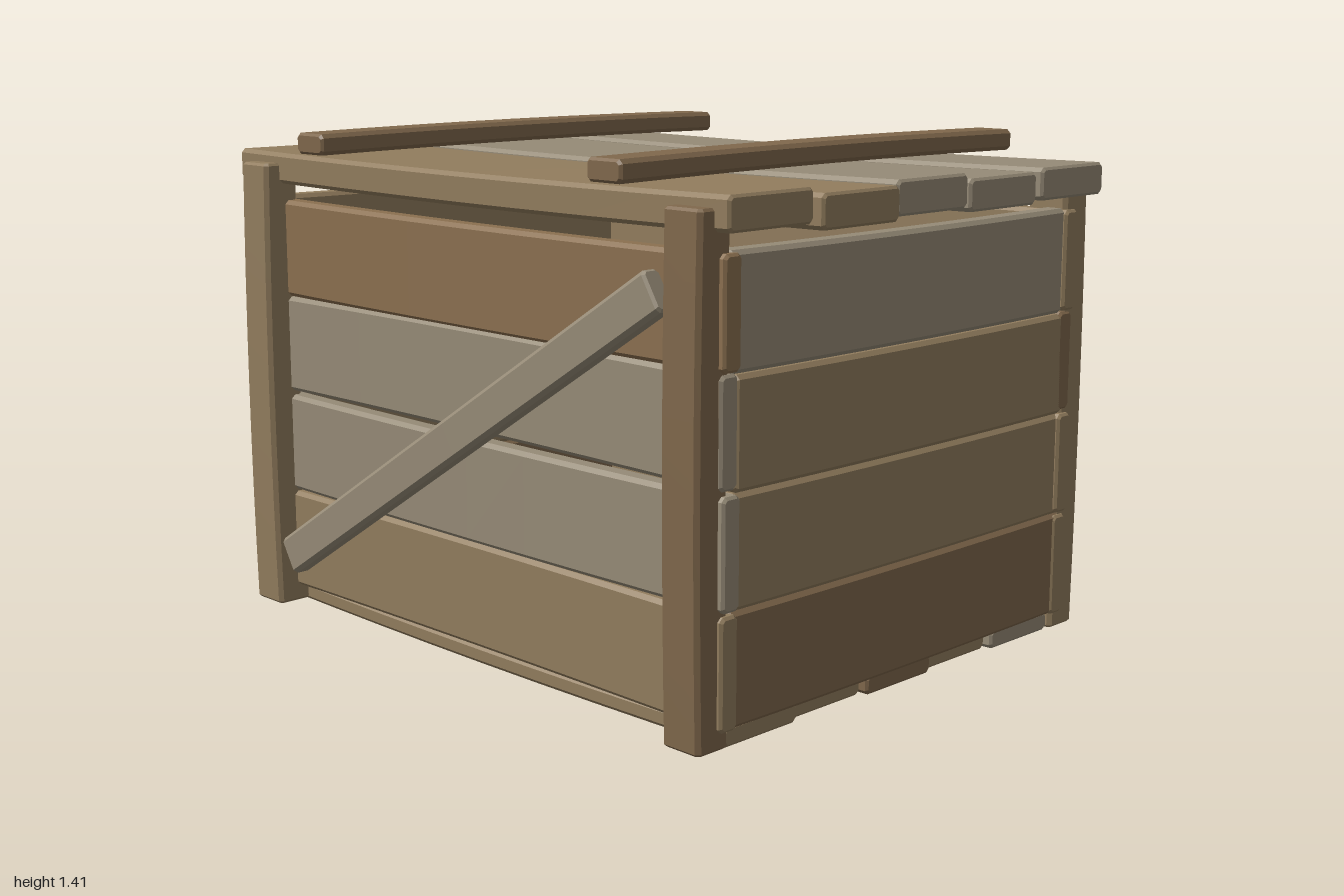
import * as THREE from 'three';
import { toCreasedNormals } from 'three/addons/utils/BufferGeometryUtils.js';

const WOOD = {};
for (const [name, color] of Object.entries({ tan: 0x927d5e, warm: 0x8b7050, brown: 0x80684c, grey: 0x968b77 })) {
  WOOD[name] = new THREE.MeshStandardMaterial({ color });
}

// Chamfered board along z, centred on the origin
function boardGeometry(w, h, length) {
  const c = 0.007, x = w / 2 - c, y = h / 2 - c;
  const shape = new THREE.Shape([
    [-x + c, -y], [x - c, -y], [x, -y + c], [x, y - c],
    [x - c, y], [-x + c, y], [-x, y - c], [-x, -y + c],
  ].map(([a, b]) => new THREE.Vector2(a, b)));
  return new THREE.ExtrudeGeometry(shape, {
    depth: length - 2 * c, steps: 8, bevelThickness: c, bevelSize: c, bevelSegments: 1,
  }).translate(0, 0, c - length / 2);
}

// Board filling the given ranges, its grain along one axis, its middle pushed out by bow
function board(name, wood, axis, xr, yr, zr, bow = [0, 0, 0]) {
  const size = [xr, yr, zr].map(([a, b]) => b - a);
  let g;
  if (axis === 'x') g = boardGeometry(size[2], size[1], size[0]).rotateY(Math.PI / 2);
  else if (axis === 'y') g = boardGeometry(size[0], size[2], size[1]).rotateX(-Math.PI / 2);
  else g = boardGeometry(...size);
  const k = 'xyz'.indexOf(axis), p = g.attributes.position;
  for (let i = 0; i < p.count; i++) {
    const v = [p.getX(i), p.getY(i), p.getZ(i)];
    const s = 1 - (2 * v[k] / size[k]) ** 2;
    p.setXYZ(i, ...v.map((q, j) => q + bow[j] * s));
  }
  const mesh = new THREE.Mesh(toCreasedNormals(g, 0.4), WOOD[wood]);
  mesh.position.set(...[xr, yr, zr].map(([a, b]) => (a + b) / 2));
  mesh.name = name;
  return mesh;
}

function part(name, ...children) {
  const group = new THREE.Group();
  group.name = name;
  if (children.length) group.add(...children);
  return group;
}

export function createModel() {
  const crate = part('crate');
  const rows = [[0.065, 0.35], [0.36, 0.64], [0.65, 0.925], [0.93, 1.205]];

  // Front and back walls, bottom plank first
  const ends = [[-0.925, 0.935], [-0.93, 0.94], [-0.92, 0.93], [-0.925, 0.94]];
  const frontWall = part('frontWall'), backWall = part('backWall');
  const frontWood = ['tan', 'grey', 'grey', 'warm'], backWood = ['tan', 'tan', 'brown', 'tan'];
  rows.forEach((y, i) => {
    const bow = [0, i % 2 ? -0.006 : 0.005, 0];
    frontWall.add(board('frontPlank', frontWood[i], 'x', ends[i], y, [0.64, 0.7], bow));
    backWall.add(board('backPlank', backWood[i], 'x', ends[i], y, [-0.7, -0.64], bow));
  });

  // Side walls
  const sideEnds = [[-0.685, 0.66], [-0.68, 0.655], [-0.665, 0.645], [-0.65, 0.665]];
  const sideRows = [[0.065, 0.355], [0.355, 0.64], [0.64, 0.92], [0.923, 1.21]];
  const leftWall = part('leftWall'), rightWall = part('rightWall');
  const leftWood = ['brown', 'tan', 'tan', 'grey'], rightWood = ['brown', 'tan', 'brown', 'tan'];
  sideRows.forEach((y, i) => {
    const bow = [0, -0.004, 0];
    leftWall.add(board('leftPlank', leftWood[i], 'z', [0.865, 0.93], y, sideEnds[i], bow));
    rightWall.add(board('rightPlank', rightWood[i], 'z', [-0.925, -0.86], y, sideEnds[i], bow));
  });

  // Floor
  const floor = part('floor');
  ['grey', 'tan', 'brown', 'tan', 'tan'].forEach((wood, i) => {
    const z = (i - 2) * 0.265, end = i % 2 ? 0.89 : 0.91;
    floor.add(board('floorPlank', wood, 'x', [-end, end], [0.014, 0.066], [z - 0.131, z + 0.131], [0, -0.01, 0]));
  });

  // Corner posts
  const posts = part('cornerPosts');
  for (const [x, z, wood] of [[-0.85, 1, 'tan'], [0.86, 1, 'brown'], [-0.855, -1, 'brown'], [0.863, -1, 'tan']]) {
    const zr = z > 0 ? [0.655, 0.762] : [-0.762, -0.655];
    posts.add(board('cornerPost', wood, 'y', [x - 0.062, x + 0.062], [0.02, 1.31], zr, [0, 0, 0.008 * z]));
  }

  // Diagonal brace across the front
  const brace = board('diagonalBrace', 'grey', 'x', [-0.89, 0.89], [-0.055, 0.055], [0.7, 0.757]);
  brace.position.y = 0.64;
  brace.rotation.z = Math.atan2(0.945, 1.52);

  // Lid: uneven planks from back to front
  const lid = part('lid');
  [
    ['grey', [-0.97, 1], [1.25, 1.336], [-0.717, -0.435]],
    ['grey', [-0.953, 0.985], [1.24, 1.325], [-0.433, -0.147]],
    ['grey', [-0.938, 0.98], [1.25, 1.34], [-0.145, 0.138]],
    ['tan', [-1, 0.992], [1.24, 1.328], [0.14, 0.425]],
    ['tan', [-0.982, 0.968], [1.255, 1.342], [0.428, 0.717]],
  ].forEach(([wood, x, y, z]) => lid.add(board('lidPlank', wood, 'x', x, y, z, [0, -0.008, 0])));

  // Battens over the lid
  for (const x of [-0.573, 0.605]) {
    lid.add(board('lidBatten', 'brown', 'z', [x - 0.06, x + 0.06], [1.348, 1.406], [-0.762, 0.762], [0, 0.006, 0]));
  }

  crate.add(frontWall, backWall, leftWall, rightWall, floor, posts, brace, lid);
  return crate;
}
